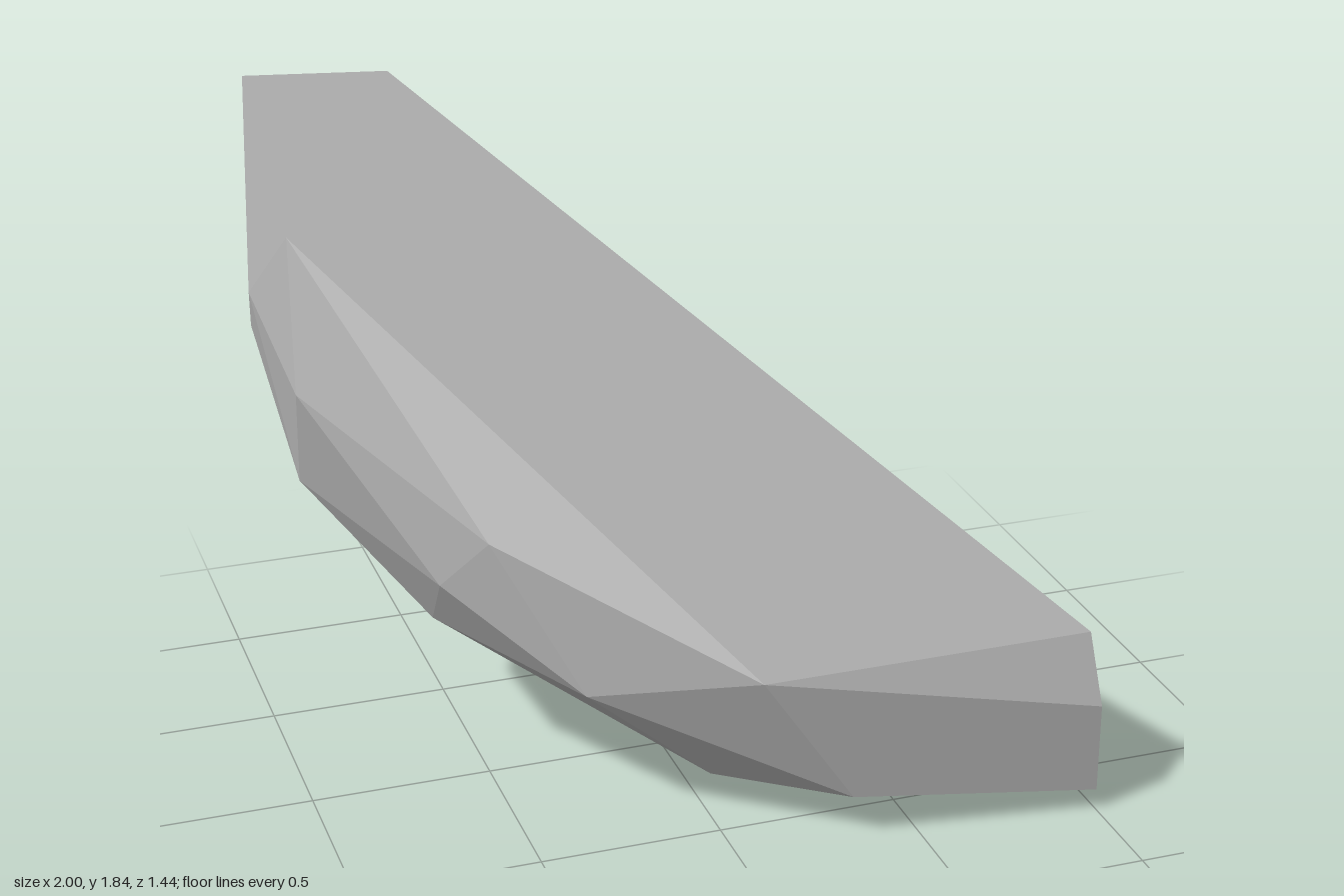
import * as THREE from 'three';
import { ConvexGeometry } from 'three/addons/geometries/ConvexGeometry.js';

export function createModel() {
  const group = new THREE.Group();
  group.name = 'rockShard';

  const stone = new THREE.MeshStandardMaterial({ color: 0xb2b2b2, flatShading: true });
  stone.name = 'grey stone';

  // Flat six-sided end on the left (x = 1), given as [y, z]
  const leftEnd = [
    [0.5, 0.63], [0.32, 0.72], [0.065, 0.72],
    [0.005, 0.49], [0.11, 0.28], [0.365, 0.29],
  ].map(([y, z]) => [1, y, z]);

  // Flat four-sided end at the back (z = -0.72), given as [x, y]
  const backEnd = [
    [-0.945, 1.84], [-0.545, 1.815], [-0.56, 1.12], [-0.96, 1.12],
  ].map(([x, y]) => [x, y, -0.72]);

  // Upper rim of the curved outer side
  const upperRim = [
    [-0.92, 1.5, -0.36], [-0.54, 0.8, 0.2], [0.07, 0.5, 0.63],
  ];

  // Bulge of the curved outer side
  const bulge = [
    [-1, 1.3, -0.51], [-0.94, 1.1, -0.24], [-0.65, 0.65, 0.1],
    [-0.33, 0.4, 0.37], [0.32, 0.13, 0.65],
  ];

  // Lower rim of the curved outer side
  const lowerRim = [
    [-0.92, 0.8, -0.35], [-0.63, 0.47, -0.07], [0.01, 0.117, 0.39], [0.01, 0.115, 0.25],
  ];

  // Faceted body wrapped around all the corners
  const corners = [...leftEnd, ...backEnd, ...upperRim, ...bulge, ...lowerRim]
    .map((p) => new THREE.Vector3(...p));
  const body = new THREE.Mesh(new ConvexGeometry(corners), stone);
  body.name = 'rockBody';
  group.add(body);

  return group;
}
